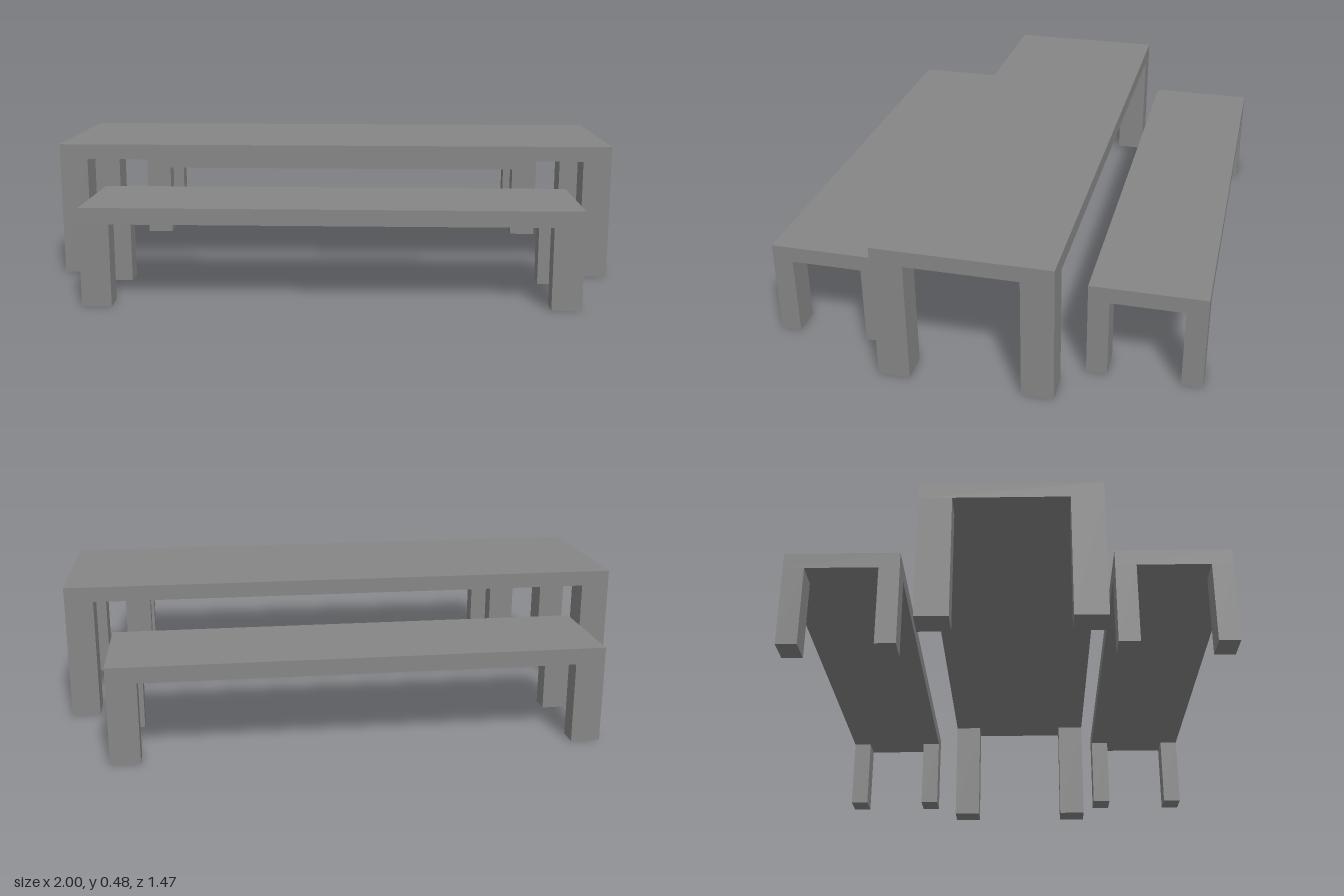
import * as THREE from 'three';

const material = new THREE.MeshStandardMaterial({ color: 0x868686, flatShading: true });

function addBox(group, name, [w, h, d], [x, y, z]) {
  const mesh = new THREE.Mesh(new THREE.BoxGeometry(w, h, d), material);
  mesh.name = name;
  mesh.position.set(x, y, z);
  group.add(mesh);
}

// A flat slab on four square-cut corner legs, flush with its edges
function slabOnLegs(name, { width, depth, height, slab, legW, legD }) {
  const group = new THREE.Group();
  group.name = name;
  addBox(group, 'slab', [width, slab, depth], [0, height - slab / 2, 0]);
  const legH = height - slab;
  for (const [sx, side] of [[1, 'Left'], [-1, 'Right']]) {
    for (const [sz, end] of [[1, 'front'], [-1, 'back']]) {
      addBox(group, `${end}${side}Leg`, [legW, legH, legD],
        [sx * (width - legW) / 2, legH / 2, sz * (depth - legD) / 2]);
    }
  }
  return group;
}

export function createModel() {
  const model = new THREE.Group();
  model.name = 'tableWithBenches';

  // Table, set slightly forward between the benches
  const table = slabOnLegs('table',
    { width: 2, depth: 0.592, height: 0.48, slab: 0.054, legW: 0.1, legD: 0.108 });
  table.position.z = 0.017;
  model.add(table);

  // Matching benches along both long sides
  for (const [sign, name] of [[1, 'frontBench'], [-1, 'backBench']]) {
    const bench = slabOnLegs(name,
      { width: 1.658, depth: 0.384, height: 0.334, slab: 0.055, legW: 0.1, legD: 0.07 });
    bench.position.set(0.004, 0, sign * 0.543);
    model.add(bench);
  }
  return model;
}
